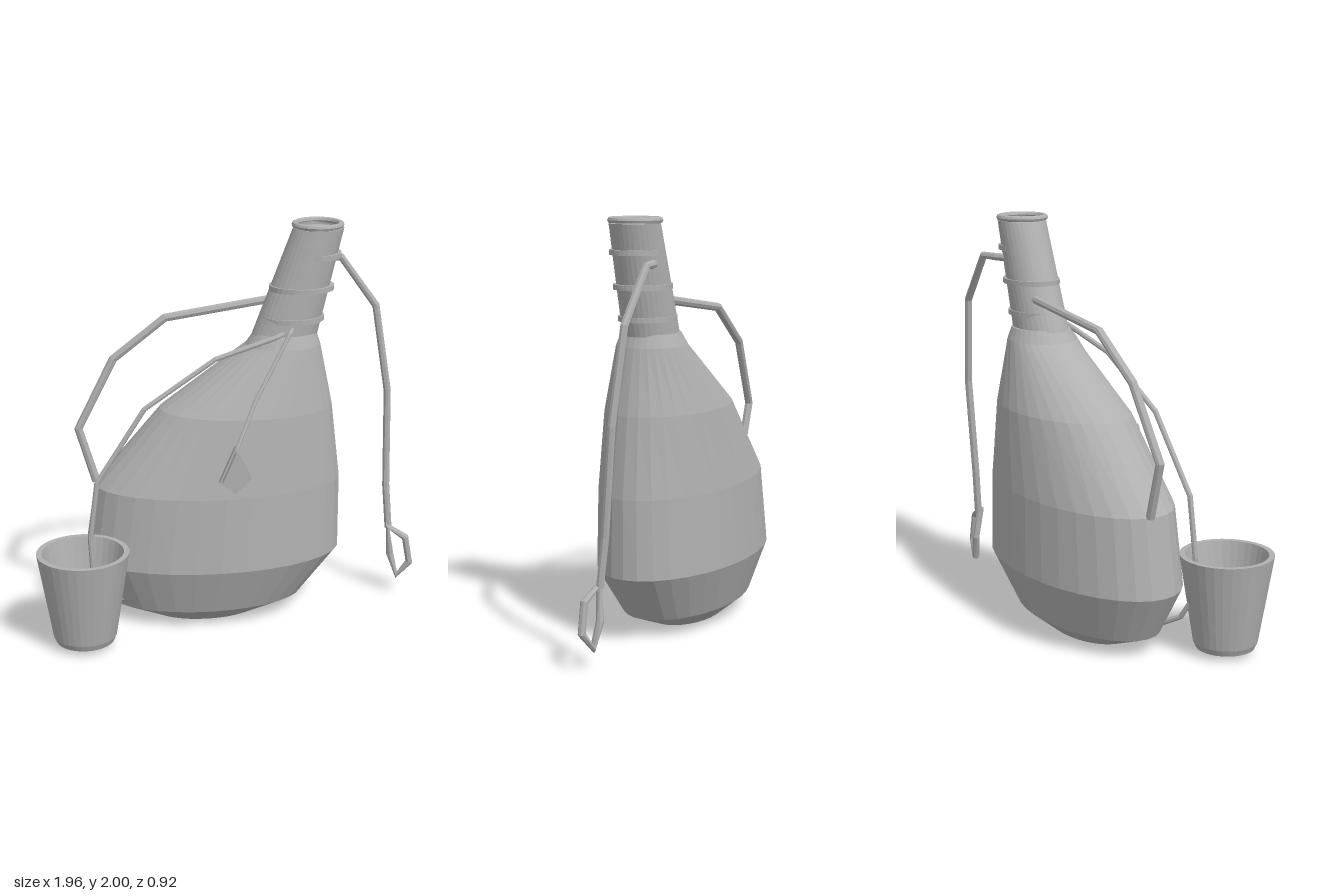
import * as THREE from 'three';

const gray = new THREE.MeshStandardMaterial({ color: 0xb0b0b0, flatShading: true });

// Skin of stacked ellipses; each section is [y, centreX, radiusX, centreZ, radiusZ]
function loft(sections, sides = 32) {
  const pos = [];
  const point = ([y, cx, rx, cz, rz], j) => {
    const a = (j / sides) * Math.PI * 2;
    return [cx + rx * Math.cos(a), y, cz + rz * Math.sin(a)];
  };
  for (let i = 0; i < sections.length - 1; i++) {
    const lo = sections[i], hi = sections[i + 1];
    for (let j = 0; j < sides; j++) {
      const a = point(lo, j), b = point(hi, j), c = point(hi, j + 1), d = point(lo, j + 1);
      if (hi[2] > 0) pos.push(...a, ...b, ...c);
      if (lo[2] > 0) pos.push(...a, ...c, ...d);
    }
  }
  const g = new THREE.BufferGeometry();
  g.setAttribute('position', new THREE.Float32BufferAttribute(pos, 3));
  g.computeVertexNormals();
  return g;
}

// Straight-sided path with mitred corners
class Polyline extends THREE.Curve {
  constructor(points, closed) {
    super();
    this.p = points.map((q) => new THREE.Vector3(...q));
    if (closed) this.p.push(this.p[0].clone());
    this.closed = closed;
    this.n = this.p.length - 1;
  }
  getPointAt(u, target = new THREE.Vector3()) {
    return target.copy(this.p[Math.round(u * this.n)]);
  }
  getTangentAt(u, target = new THREE.Vector3()) {
    const i = Math.round(u * this.n), n = this.n, p = this.p;
    const dir = (k) => p[k + 1].clone().sub(p[k]).normalize();
    const end = i === 0 || i === n;
    const before = end ? (this.closed ? n - 1 : Math.min(i, n - 1)) : i - 1;
    const after = end ? (this.closed ? 0 : before) : i;
    return target.copy(dir(before)).add(dir(after)).normalize();
  }
}

function pipe(points, radius, closed = false) {
  const path = new Polyline(points, closed);
  return new THREE.TubeGeometry(path, path.n, radius, 8, closed);
}

export function createModel() {
  const model = new THREE.Group();
  const add = (name, geometry) => {
    const mesh = new THREE.Mesh(geometry, gray);
    mesh.name = name;
    model.add(mesh);
    return mesh;
  };
  const Z = -0.115;

  // Leaning, flattened flask
  add('flaskBody', loft([
    [0, -0.12, 0, Z, 0],
    [0, -0.12, 0.26, Z, 0.15],
    [0.09, -0.112, 0.487, Z, 0.26],
    [0.33, -0.08, 0.65, Z, 0.345],
    [0.71, -0.05, 0.62, Z, 0.325],
    [1.09, 0.093, 0.432, Z, 0.268],
    [1.4, 0.275, 0.185, Z, 0.165],
    [1.46, 0.285, 0.155, Z, 0.138],
    [1.46, 0.285, 0, Z, 0],
  ]));

  // Slanted neck with a recessed stopper
  add('neck', loft([
    [1.45, 0.283, 0.162, Z, 0.126],
    [1.97, 0.445, 0.124, Z, 0.118],
    [1.98, 0.447, 0.1, Z, 0.1],
    [1.965, 0.445, 0.1, Z, 0.1],
    [1.965, 0.445, 0, Z, 0],
  ]));
  const lip = add('neckLip', new THREE.TorusGeometry(0.113, 0.015, 8, 32));
  lip.rotation.x = Math.PI / 2;
  lip.position.set(0.441, 1.985, Z);

  // Flat bands round the neck
  for (const [y, x, rx, rz] of [[1.53, 0.317, 0.16, 0.132], [1.68, 0.365, 0.16, 0.132], [1.84, 0.435, 0.123, 0.123]]) {
    add('neckBand', loft([
      [y - 0.012, x, 0, Z, 0],
      [y - 0.012, x, rx, Z, rz],
      [y + 0.012, x, rx, Z, rz],
      [y + 0.012, x, 0, Z, 0],
    ]));
  }

  // Carrying handle
  add('handle', pipe([
    [0.3, 1.615, -0.185], [0.18, 1.6, -0.185], [-0.3, 1.53, -0.185],
    [-0.56, 1.33, -0.185], [-0.74, 0.985, -0.165], [-0.66, 0.71, -0.155],
  ], 0.021));

  // Cord running into the cup and back to the flask
  add('cupCord', pipe([
    [0.26, 1.475, 0], [0.22, 1.46, 0.012], [-0.08, 1.37, 0.03], [-0.43, 1.14, 0.05],
    [-0.67, 0.78, 0.07], [-0.71, 0.49, 0.075], [-0.7, 0.28, 0.07], [-0.64, 0.18, 0.05], [-0.55, 0.13, 0.01],
  ], 0.013));

  // Tapered open cup
  const cx = -0.756, cz = 0.23;
  add('cup', loft(
    [[0.03, 0], [0.03, 0.142], [0.06, 0.155], [0.49, 0.225], [0.49, 0.198], [0.08, 0.115], [0.08, 0]]
      .map(([y, r]) => [y, cx, r, cz, r])));

  // Tag on a thin cord
  add('tagCord', pipe([[0.3, 1.5, 0], [0.285, 1.48, 0.025], [0.1, 1.18, 0.13], [-0.01, 0.95, 0.215], [-0.012, 0.93, 0.225]], 0.01));
  const diamond = (s, depth) => new THREE.ExtrudeGeometry(
    new THREE.Shape([[0, 0.125], [-0.08, -0.035], [0, -0.115], [0.078, -0.055]]
      .map(([x, y]) => new THREE.Vector2(-x * s, y * s))),
    { depth, bevelEnabled: false });
  const plate = add('tagPlate', diamond(1, 0.027));
  plate.position.set(-0.014, 0.865, 0.216);
  const face = add('tagFace', diamond(0.82, 0.027));
  face.position.set(-0.014, 0.865, 0.243);
  plate.scale.x = face.scale.x = 1;

  // Hanging strap with a closed loop at the end
  add('strap', pipe([
    [0.42, 1.79, -0.2], [0.5, 1.79, -0.235], [0.59, 1.79, -0.25], [0.77, 1.54, -0.235], [0.835, 1.1, -0.205],
    [0.835, 0.6, -0.17], [0.85, 0.37, -0.15],
  ], 0.019));
  add('strapLoop', pipe([
    [0.845, 0.38, -0.14], [0.935, 0.32, -0.118], [0.96, 0.18, -0.118], [0.9, 0.1, -0.14], [0.865, 0.22, -0.158],
  ], 0.019, true));

  return model;
}
